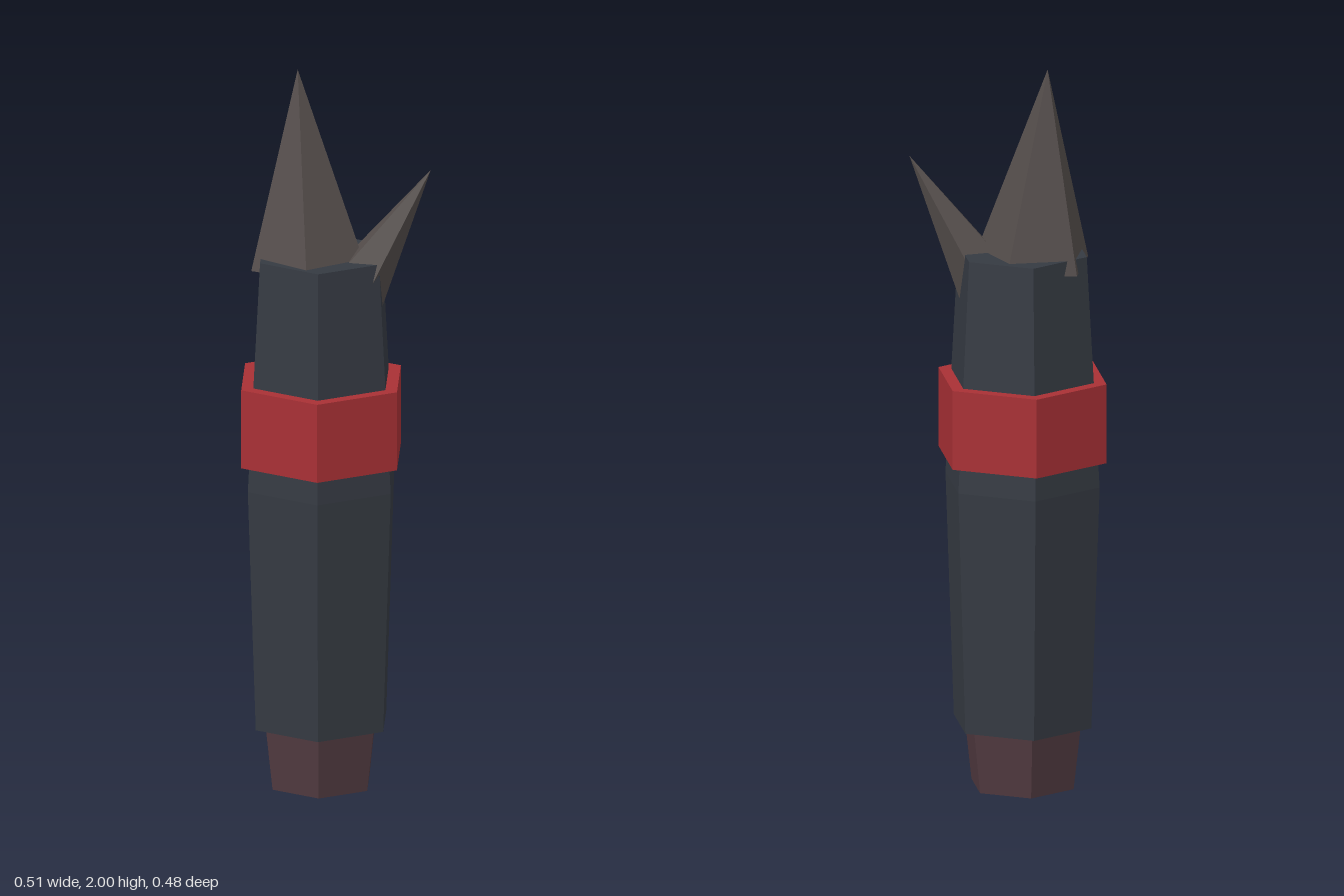
import * as THREE from 'three';

const CENTER_X = -0.046;

function material(color) {
  return new THREE.MeshStandardMaterial({ color, flatShading: true });
}

export function createModel() {
  const group = new THREE.Group();
  const dark = material(0x353a42);
  const red = material(0xa83035);
  const brown = material(0x513a40);
  const stone = material(0x544d4b);

  // Six-sided tapered section between two heights, corners facing front and back
  function section(name, y0, y1, r0, r1, mat) {
    const mesh = new THREE.Mesh(new THREE.CylinderGeometry(r1, r0, y1 - y0, 6), mat);
    mesh.name = name;
    mesh.position.set(CENTER_X, (y0 + y1) / 2, 0);
    group.add(mesh);
  }

  // Five-sided spike from a base centre to its tip; roll turns its corners
  function spike(name, base, tip, radius, roll) {
    const a = new THREE.Vector3(...base);
    const b = new THREE.Vector3(...tip);
    const axis = b.clone().sub(a);
    const length = axis.length();
    const geometry = new THREE.ConeGeometry(radius, length, 5, 1, false, roll);
    const mesh = new THREE.Mesh(geometry, stone);
    mesh.name = name;
    mesh.quaternion.setFromUnitVectors(new THREE.Vector3(0, 1, 0), axis.normalize());
    mesh.position.copy(a).add(b).multiplyScalar(0.5);
    group.add(mesh);
  }

  // Handle, widest just under the collar
  section('foot', 0, 0.18, 0.147, 0.168, brown);
  section('lowerBody', 0.175, 0.85, 0.198, 0.222, dark);
  section('upperBody', 0.85, 1.49, 0.222, 0.185, dark);
  section('collar', 0.92, 1.14, 0.242, 0.242, red);

  // Broken stone points set in the top
  spike('mainSpike', [-0.078, 1.46, -0.003], [-0.11, 2.0, -0.027], 0.162, 0);
  spike('sideSpike', [0.04, 1.39, 0.03], [0.252, 1.75, 0.063], 0.09, Math.PI / 2);

  return group;
}
